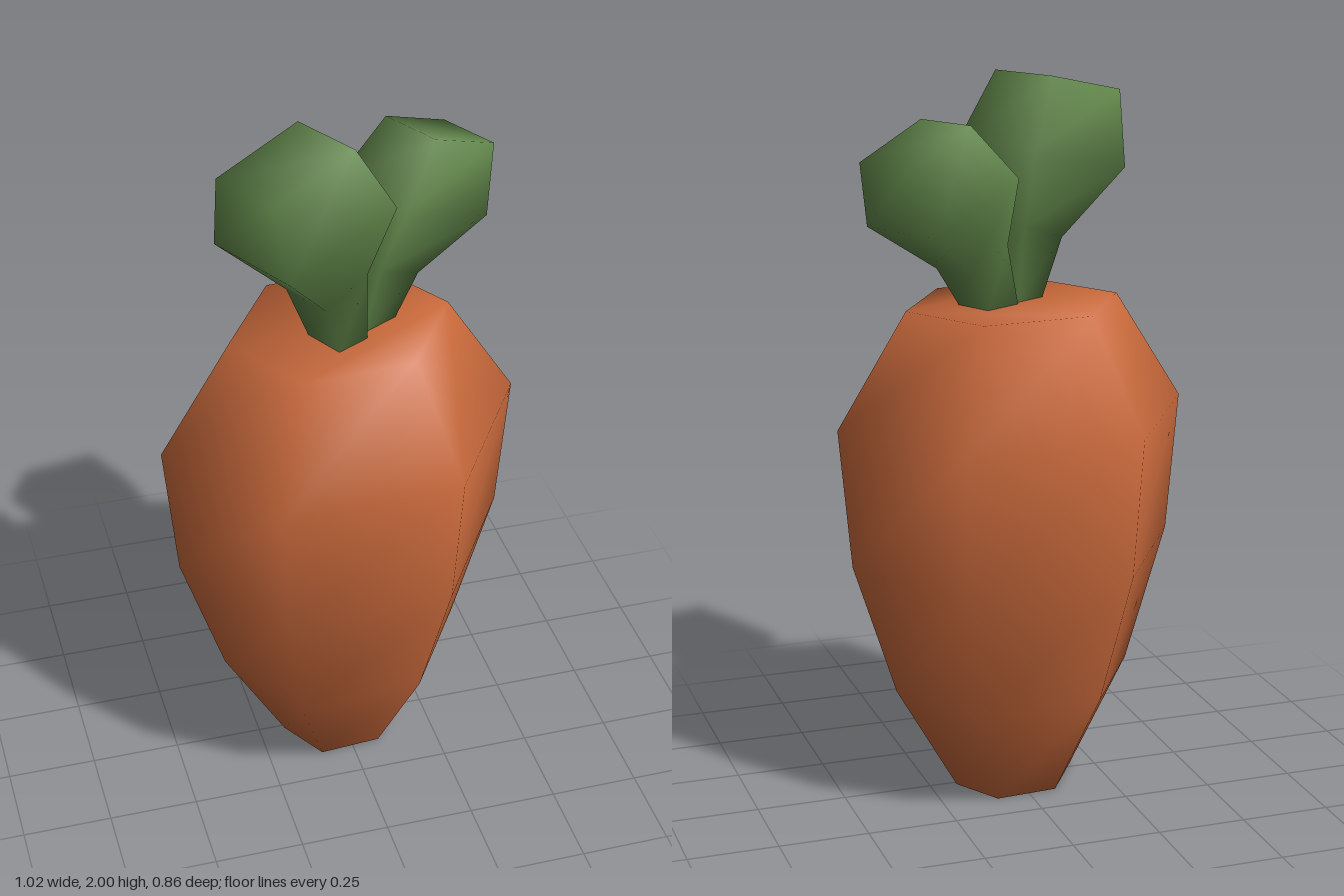
import * as THREE from 'three';

// Skin a stack of closed rings (counter-clockwise from above, bottom to top) and cap both ends.
function loft(rings) {
  const n = rings[0].length;
  const last = (rings.length - 1) * n;
  const index = [];
  for (let i = 0; i < rings.length - 1; i++) {
    for (let j = 0; j < n; j++) {
      const a = i * n + j;
      const b = i * n + (j + 1) % n;
      index.push(a, b, b + n, a, b + n, a + n);
    }
  }
  for (let j = 1; j < n - 1; j++) {
    index.push(0, j + 1, j);
    index.push(last, last + j, last + j + 1);
  }
  const geometry = new THREE.BufferGeometry();
  geometry.setAttribute('position', new THREE.Float32BufferAttribute(rings.flat(2), 3));
  geometry.setIndex(index);
  geometry.computeVertexNormals();
  return geometry;
}

// Each leaf section: [inner reach, inner height, outer reach, outer height, half width]
function makeLeaf(name, material, sections, offset, angle) {
  const rings = sections.map(([ui, yi, uo, yo, h]) => [
    [ui, yi, offset - h], [ui, yi, offset + h],
    [uo, yo, offset + h], [uo, yo, offset - h],
  ]);
  const leaf = new THREE.Mesh(loft(rings), material);
  leaf.name = name;
  leaf.rotation.y = angle;
  return leaf;
}

export function createModel() {
  const orange = new THREE.MeshStandardMaterial({ color: 0xc8693b });
  orange.name = 'carrot orange';
  const green = new THREE.MeshStandardMaterial({ color: 0x5f8448 });
  green.name = 'leaf green';

  const group = new THREE.Group();
  group.name = 'carrot';

  // Root: one slightly skewed hexagon scaled at each height
  const hexagon = [[0.51, -0.037], [0.277, -0.428], [-0.233, -0.393],
    [-0.51, 0.037], [-0.277, 0.428], [0.233, 0.393]];
  const profile = [[0, 0.343], [0.31, 0.69], [0.69, 0.93], [1.08, 1], [1.39, 0.61]];
  const root = new THREE.Mesh(
    loft(profile.map(([y, s]) => hexagon.map(([x, z]) => [x * s, y, z * s]))), orange);
  root.name = 'root';
  group.add(root);

  // Leaves: narrow stem, wide blade, bevelled tip
  const turn = 0.485;
  group.add(makeLeaf('tallLeaf', green, [
    [0.0, 1.385, 0.1, 1.385, 0.06],
    [0.015, 1.6, 0.165, 1.55, 0.075],
    [-0.02, 1.81, 0.347, 1.73, 0.144],
    [0.09, 2.0, 0.367, 1.94, 0.105],
  ], -0.046, turn + Math.PI));
  group.add(makeLeaf('shortLeaf', green, [
    [0.01, 1.385, 0.125, 1.385, 0.055],
    [0.06, 1.56, 0.204, 1.5, 0.063],
    [0.087, 1.75, 0.393, 1.63, 0.13],
    [0.229, 1.9, 0.452, 1.81, 0.092],
  ], 0.026, turn));

  return group;
}
